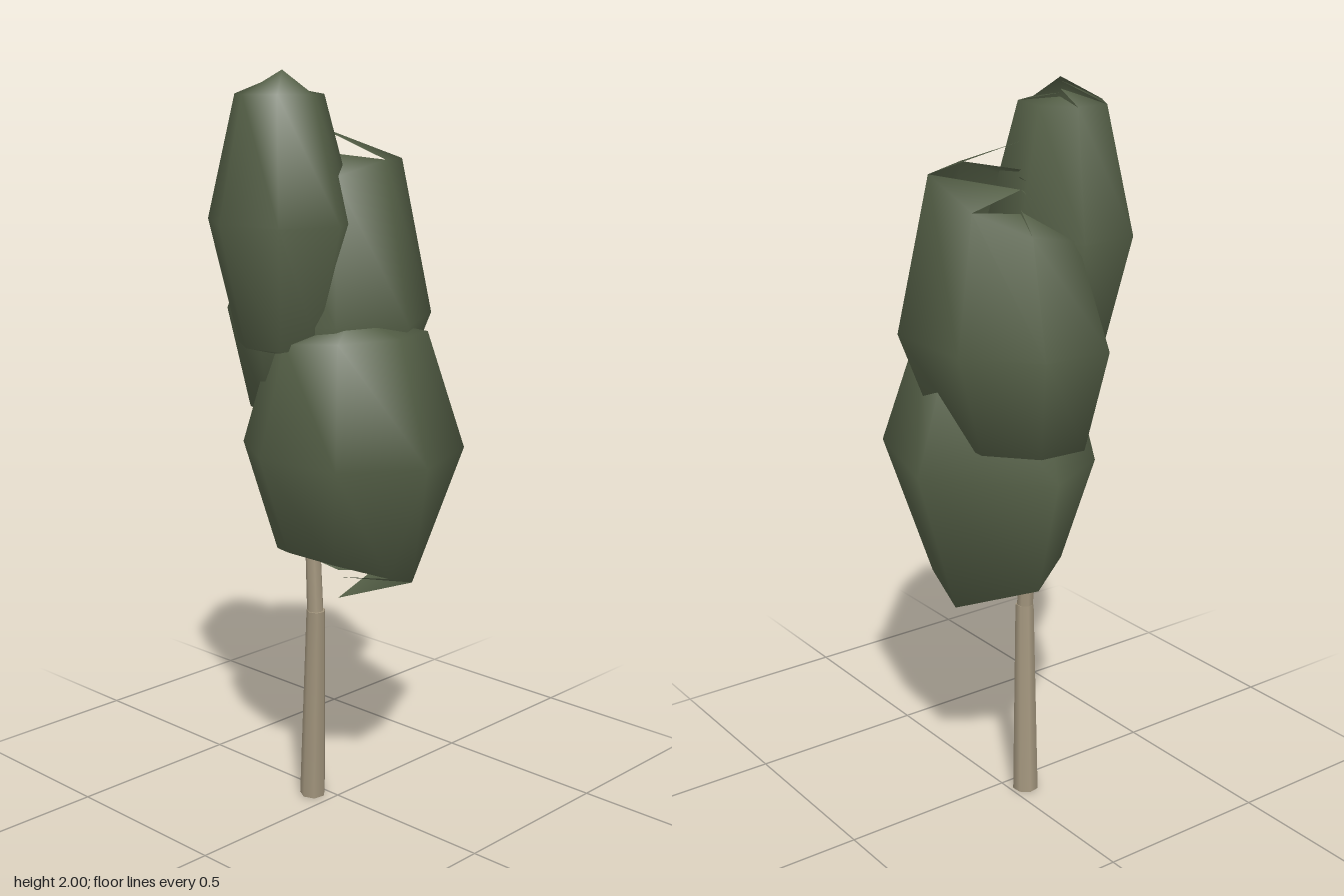
import * as THREE from 'three';

const leafMat = new THREE.MeshStandardMaterial({ color: 0x556047, side: THREE.DoubleSide });
const barkMat = new THREE.MeshStandardMaterial({ color: 0xa3967e });

// Foliage clump: an irregular equator outline [x, z], repeated as scaled rings
// [y, scale, centre x, centre z, tilt along x, tilt along z]. Each cap is a fan
// whose apex height differs per segment, giving a ragged tip.
function clump(name, outline, centre, rings, bottom, top) {
  const n = outline.length, pos = [], idx = [];
  for (const [y, s, cx, cz, tx = 0, tz = 0] of rings) {
    for (const [x, z] of outline) {
      const dx = (x - centre[0]) * s, dz = (z - centre[1]) * s;
      pos.push(cx + dx, y + dx * tx + dz * tz, cz + dz);
    }
  }
  for (const cap of [bottom, top]) {
    for (const y of cap.heights) pos.push(cap.x, y, cap.z);
  }
  const last = (rings.length - 1) * n, low = rings.length * n, high = low + n;
  for (let j = 0; j < n; j++) {
    const k = (j + 1) % n;
    idx.push(low + j, j, k);
    for (let a = j, b = k; a < last; a += n, b += n) idx.push(a, a + n, b + n, a, b + n, b);
    idx.push(high + j, last + k, last + j);
  }
  const g = new THREE.BufferGeometry();
  g.setAttribute('position', new THREE.Float32BufferAttribute(pos, 3));
  g.setIndex(idx);
  g.computeVertexNormals();
  const mesh = new THREE.Mesh(g, leafMat);
  mesh.name = name;
  return mesh;
}

// Tapered, leaning trunk piece between two points
function limb(name, from, to, r0, r1) {
  const a = new THREE.Vector3(...from), b = new THREE.Vector3(...to);
  const dir = b.clone().sub(a);
  const mesh = new THREE.Mesh(new THREE.CylinderGeometry(r1, r0, dir.length(), 7), barkMat);
  mesh.position.copy(a).add(b).multiplyScalar(0.5);
  mesh.quaternion.setFromUnitVectors(new THREE.Vector3(0, 1, 0), dir.normalize());
  mesh.name = name;
  return mesh;
}

export function createModel() {
  const tree = new THREE.Group();
  tree.name = 'tree';

  // Trunk
  tree.add(limb('lowerTrunk', [-0.06, 0, 0.04], [-0.025, 0.56, 0.06], 0.036, 0.026));
  tree.add(limb('upperTrunk', [-0.027, 0.55, 0.06], [-0.04, 0.85, 0.06], 0.023, 0.02));

  // Crown
  tree.add(clump('lowerFoliage',
    [[0.355, 0.04], [0.22, 0.235], [-0.03, 0.26], [-0.21, 0.15], [-0.31, -0.05], [-0.06, -0.31], [0.265, -0.21]],
    [0.02, -0.02],
    [[0.685, 0.62, 0.015, 0, 0, 0.38], [1.02, 1, 0.02, -0.02], [1.32, 0.69, 0.04, 0.01, 0.1, 0]],
    { x: 0.03, z: 0.03, heights: [0.7, 0.71, 0.71, 0.7, 0.68, 0.6, 0.66] },
    { x: 0.08, z: 0.03, heights: [1.38, 1.38, 1.38, 1.36, 1.36, 1.37, 1.38] }));

  tree.add(clump('middleFoliage',
    [[0.225, -0.03], [0.12, 0.13], [-0.1, 0.2], [-0.355, 0.07], [-0.345, -0.12], [-0.18, -0.265], [0.1, -0.26]],
    [-0.06, -0.04],
    [[1.09, 0.7, -0.085, -0.03], [1.36, 1, -0.06, -0.04], [1.71, 0.69, -0.06, -0.04, 0.35, -0.15]],
    { x: -0.07, z: -0.03, heights: [1.06, 1.06, 1.06, 1.06, 1.06, 1.06, 1.06] },
    { x: -0.12, z: -0.03, heights: [1.79, 1.77, 1.74, 1.69, 1.68, 1.74, 1.86] }));

  tree.add(clump('upperFoliage',
    [[0.135, 0.13], [0.07, 0.28], [-0.115, 0.31], [-0.27, 0.21], [-0.29, 0.04], [-0.14, -0.05], [0.06, -0.01]],
    [-0.08, 0.14],
    [[1.3, 0.6, -0.075, 0.14], [1.62, 1, -0.08, 0.14], [1.94, 0.59, -0.08, 0.14]],
    { x: -0.07, z: 0.13, heights: [1.27, 1.27, 1.27, 1.27, 1.27, 1.27, 1.27] },
    { x: -0.07, z: 0.13, heights: [2.0, 2.0, 1.99, 1.97, 1.95, 1.95, 1.96] }));

  return tree;
}
